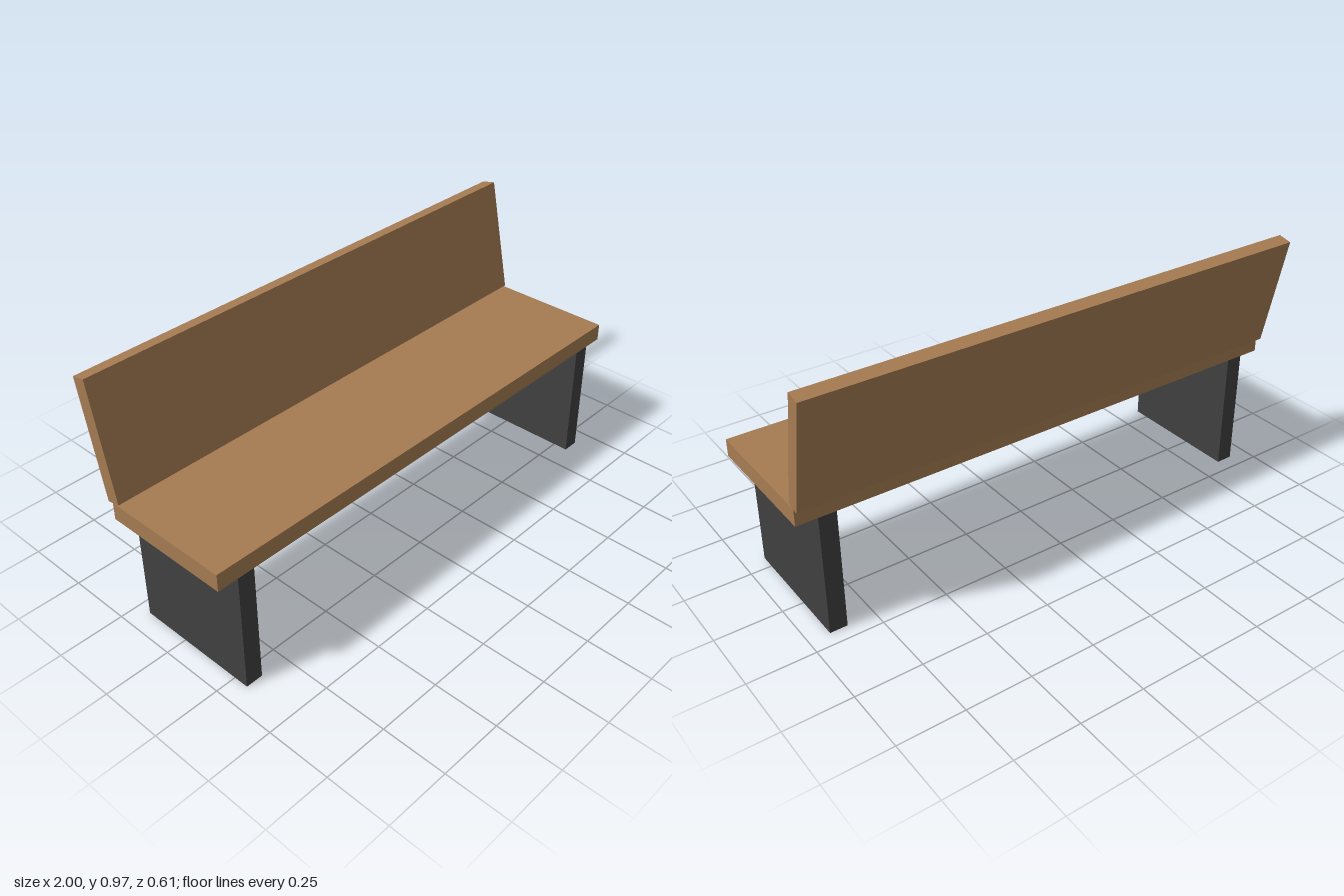
import * as THREE from 'three';

export function createModel() {
  const bench = new THREE.Group();
  bench.name = 'bench';

  const wood = new THREE.MeshStandardMaterial({ color: 0xa67c52 });
  wood.name = 'wood';
  const darkMetal = new THREE.MeshStandardMaterial({ color: 0x404040 });
  darkMetal.name = 'dark metal';

  const addBox = (name, size, position, material) => {
    const mesh = new THREE.Mesh(new THREE.BoxGeometry(...size), material);
    mesh.name = name;
    mesh.position.set(...position);
    bench.add(mesh);
    return mesh;
  };

  // Seat plank
  addBox('seat', [2, 0.066, 0.5], [0, 0.501, 0.058], wood);

  // Backrest, leaning backwards just above the seat's rear edge
  const backrest = addBox('backrest', [2, 0.444, 0.054], [0, 0.752, -0.233], wood);
  backrest.rotation.x = -0.205;

  // Slab legs near both ends
  for (const [name, side] of [['leftLeg', 1], ['rightLeg', -1]]) {
    addBox(name, [0.066, 0.468, 0.5], [side * 0.888, 0.234, 0.058], darkMetal);
  }

  return bench;
}
